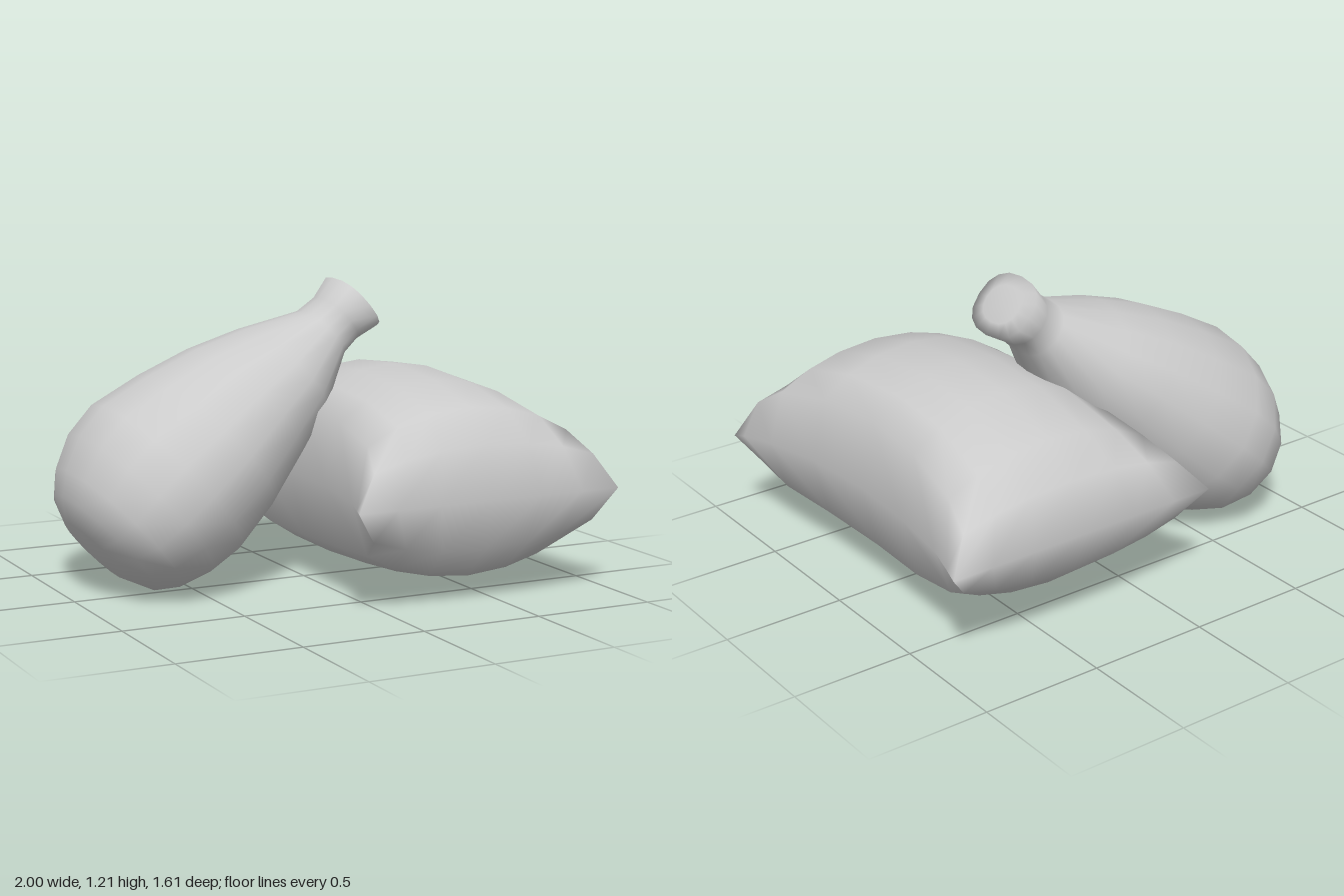
import * as THREE from 'three';
import { mergeVertices } from 'three/addons/utils/BufferGeometryUtils.js';

const SIDES = 16;

// Skins a list of closed rings (arrays of Vector3) into a smooth surface.
function loft(rings) {
  const position = rings.flat().flatMap((p) => [p.x, p.y, p.z]);
  const index = [];
  for (let i = 0; i < rings.length - 1; i++) {
    for (let j = 0; j < SIDES; j++) {
      const k = (j + 1) % SIDES;
      const a = i * SIDES + j, b = i * SIDES + k;
      index.push(a, b, b + SIDES, a, b + SIDES, a + SIDES);
    }
  }
  const geometry = new THREE.BufferGeometry();
  geometry.setAttribute('position', new THREE.Float32BufferAttribute(position, 3));
  geometry.setIndex(index);
  const merged = mergeVertices(geometry);
  merged.computeVertexNormals();
  return merged;
}

function ring(pointAt) {
  return Array.from({ length: SIDES }, (_, j) => pointAt(j));
}

// Quarter outline of the plump lying section, mirrored into a full ring of unit size.
const QUARTER = [[1, 0], [0.87, 0.64], [0.62, 0.83], [0.34, 0.95], [0, 1]];
const PLUMP = ring((j) => {
  const step = j % 8;
  const [u, v] = QUARTER[step <= 4 ? step : 8 - step];
  return [j < 4 || j > 12 ? u : -u, j < 8 ? v : -v];
});

export function createModel() {
  const material = new THREE.MeshStandardMaterial({ color: 0xcccccc, side: THREE.DoubleSide });
  const model = new THREE.Group();
  const add = (name, rings) => {
    const mesh = new THREE.Mesh(loft(rings), material);
    mesh.name = name;
    model.add(mesh);
  };

  // Lying sack: plump sections pinched into a flat seam at both ends.
  // Each row: z at left edge, z at right edge, left x, right x, middle y, half height
  const lyingSections = [
    [-0.79, -0.805, -0.21, 1.0, 0.447, 0],
    [-0.72, -0.72, -0.177, 0.972, 0.447, 0.19],
    [-0.57, -0.57, -0.12, 0.925, 0.445, 0.305],
    [-0.28, -0.28, -0.08, 0.88, 0.44, 0.402],
    [0.02, 0.02, -0.07, 0.865, 0.446, 0.417],
    [0.35, 0.35, -0.08, 0.885, 0.442, 0.393],
    [0.62, 0.62, -0.105, 0.925, 0.425, 0.335],
    [0.75, 0.745, -0.152, 0.978, 0.425, 0.207],
    [0.805, 0.785, -0.17, 1.0, 0.42, 0],
  ];
  add('lyingSack', lyingSections.map(([zl, zr, xl, xr, y, h]) => ring((j) => {
    const [u, v] = PLUMP[j];
    // The flat seams gather their outer points into the corners
    const across = h === 0 ? THREE.MathUtils.clamp(u / 0.87, -1, 1) : u;
    const s = (across + 1) / 2;
    return new THREE.Vector3(
      THREE.MathUtils.lerp(xl, xr, s),
      y + h * v,
      THREE.MathUtils.lerp(zl, zr, s),
    );
  })));

  // Leaning sack: oval sections along a tilted axis, measured back from the mouth.
  const mouth = new THREE.Vector3(0.275, 1.11, -0.112);
  const axis = new THREE.Vector3(0.76, 0.65, 0);
  const side = new THREE.Vector3(-0.65, 0.76, 0);
  const bend = (v, power) => Math.sign(v) * Math.abs(v) ** power;
  // Each row: distance along axis, radius, radius in z, sideways shift, power (below 1 is squarer)
  const leaningSections = [
    [-1.5, 0, 0, 0.025, 1],
    [-1.48, 0.156, 0.2, 0.03, 1],
    [-1.43, 0.262, 0.345, 0.027, 1],
    [-1.35, 0.325, 0.43, 0.031, 1],
    [-1.22, 0.38, 0.477, 0.04, 1],
    [-1.07, 0.4, 0.483, 0.04, 1],
    [-0.85, 0.364, 0.445, 0.03, 1],
    [-0.63, 0.305, 0.378, 0.025, 1],
    [-0.42, 0.232, 0.3, 0.01, 1],
    [-0.19, 0.121, 0.154, 0.002, 0.9],
    [-0.1, 0.114, 0.144, 0, 0.9],
    [0, 0.133, 0.165, 0, 0.83],
    // Softly closed mouth
    [0.012, 0.08, 0.1, 0, 0.9],
    [0.014, 0, 0, 0, 1],
  ];
  add('leaningSack', leaningSections.map(([t, r, rz, shift, power]) => ring((j) => {
    const a = (j / SIDES) * Math.PI * 2;
    const p = mouth.clone().addScaledVector(axis, t);
    p.addScaledVector(side, shift + r * bend(Math.cos(a), power));
    p.z += rz * bend(Math.sin(a), power);
    return p;
  })));

  return model;
}
